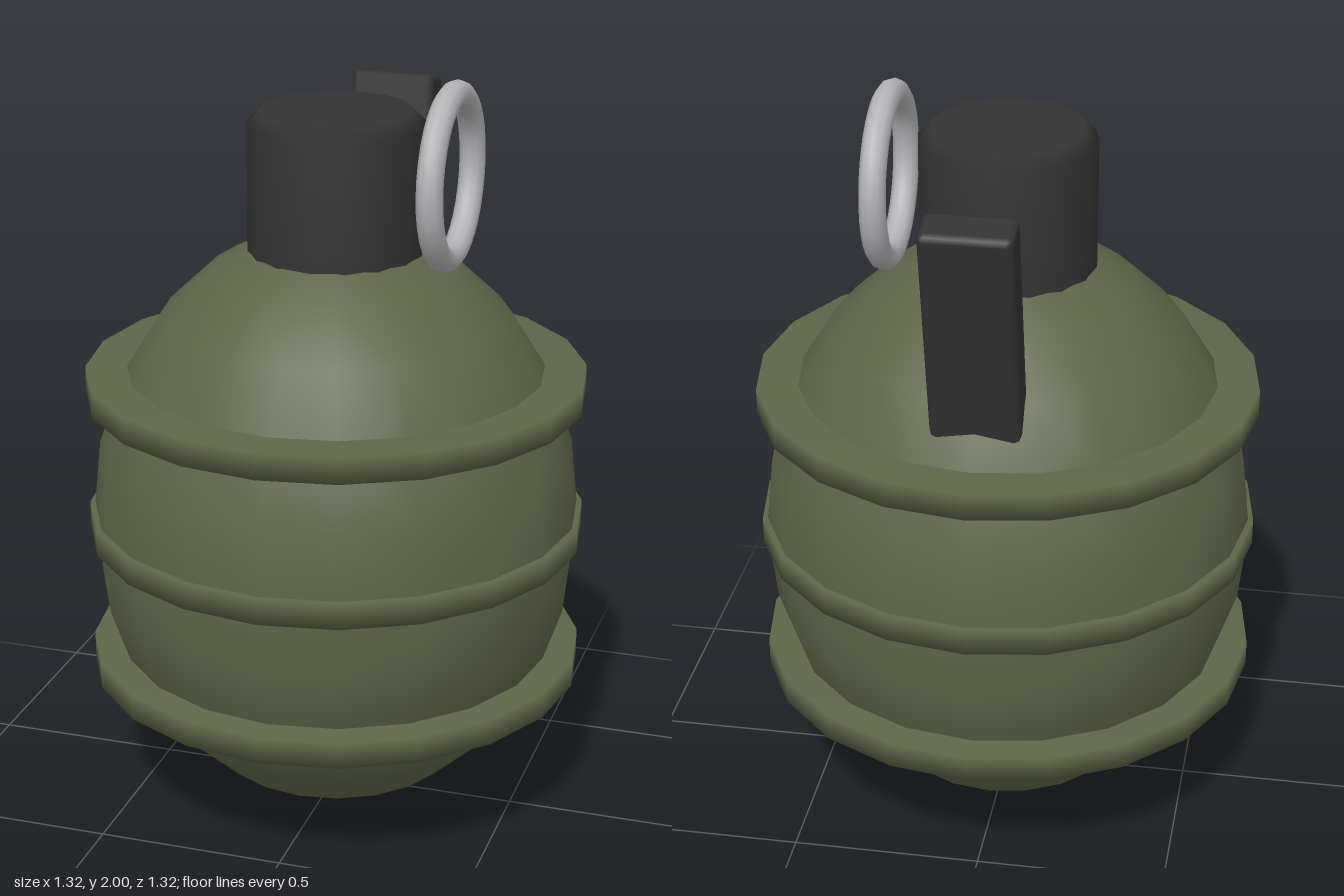
import * as THREE from 'three';
import { RoundedBoxGeometry } from 'three/addons/geometries/RoundedBoxGeometry.js';

const mat = (name, color) => {
  const m = new THREE.MeshStandardMaterial({ color });
  m.name = name;
  return m;
};

// Turned solid with soft shading; points run from bottom to top
const turned = (points, sides) =>
  new THREE.LatheGeometry(points.map(([r, y]) => new THREE.Vector2(r, y)), sides);

export function createModel() {
  const olive = mat('olive green', 0x5e6548);
  const black = mat('dark grey', 0x333334);
  const steel = mat('steel', 0xb4b4b7);

  const group = new THREE.Group();
  const add = (name, geometry, material, x = 0, y = 0, z = 0) => {
    const mesh = new THREE.Mesh(geometry, material);
    mesh.name = name;
    mesh.position.set(x, y, z);
    group.add(mesh);
    return mesh;
  };

  // Egg-shaped body
  const body = new THREE.SphereGeometry(1, 20, 12);
  body.scale(0.65, 0.8, 0.65);
  add('body', body, olive, 0, 0.8, 0);

  // Three raised bands around the body
  const band = turned([[0, -0.035], [0.66, -0.035], [0.66, 0.035], [0, 0.035]], 20);
  [0.415, 0.8, 1.185].forEach((y, i) => add(`band${i + 1}`, band, olive, 0, y, 0));

  // Fuse cap with a bevelled top edge
  add('fuseCap', turned([[0, 1.5], [0.23, 1.5], [0.23, 1.53], [0.23, 1.875], [0.195, 1.91], [0, 1.91]], 16), black);

  // Safety lever, leaning back out of the body
  const lever = add('lever', new RoundedBoxGeometry(0.23, 0.7, 0.11, 1, 0.018), black, 0, 1.537, -0.494);
  lever.rotation.x = -0.208;

  // Pull ring beside the cap
  const ring = add('pullRing', new THREE.TorusGeometry(0.21, 0.034, 10, 32), steel, 0.305, 1.757, 0);
  ring.rotation.y = Math.PI / 2;

  return group;
}
